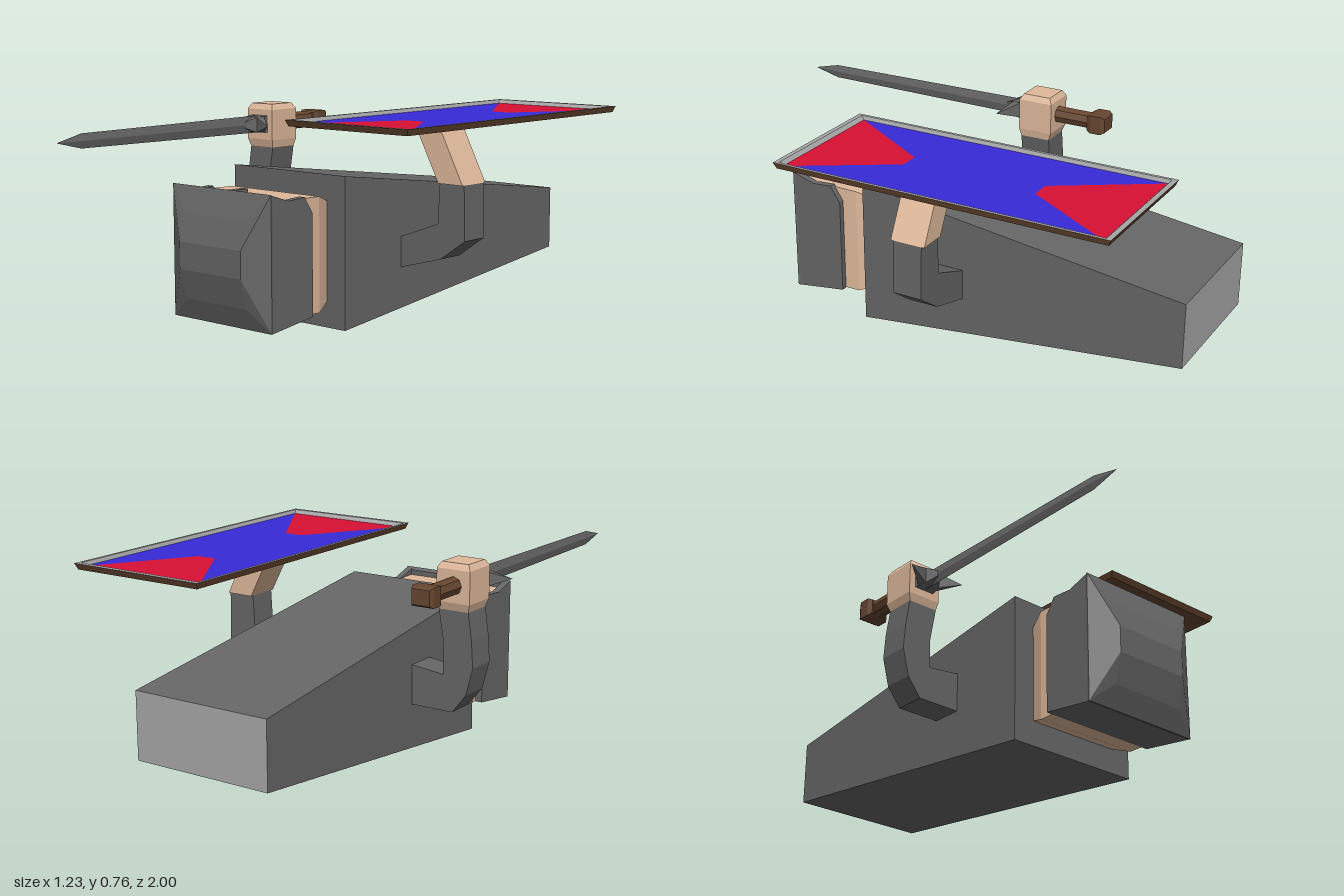
import * as THREE from 'three';
import { ConvexGeometry } from 'three/addons/geometries/ConvexGeometry.js';

const mat = (color) => new THREE.MeshStandardMaterial({ color, flatShading: true });
const grey = mat(0x666666), paleGrey = mat(0xa6a6a6), skin = mat(0xdfb99b);
const brown = mat(0x664630), blue = mat(0x372ad8), red = mat(0xd81034);

// Rectangular cross-sections, counter-clockwise seen from +z or +y
const ringZ = (z, x0, x1, y0, y1) => [[x0, y0, z], [x1, y0, z], [x1, y1, z], [x0, y1, z]];
const ringY = (y, x0, x1, z0, z1) => [[x0, y, z1], [x1, y, z1], [x1, y, z0], [x0, y, z0]];

// Skin a list of four-point rings, with optional end caps
function loft(rings, capStart = true, capEnd = true) {
  const pos = [];
  const quad = (a, b, c, d) => pos.push(...a, ...b, ...c, ...a, ...c, ...d);
  for (let k = 0; k < rings.length - 1; k++) {
    for (let i = 0; i < 4; i++) {
      const j = (i + 1) % 4;
      quad(rings[k][i], rings[k][j], rings[k + 1][j], rings[k + 1][i]);
    }
  }
  if (capStart) quad(...[...rings[0]].reverse());
  if (capEnd) quad(...rings[rings.length - 1]);
  const g = new THREE.BufferGeometry();
  g.setAttribute('position', new THREE.Float32BufferAttribute(pos, 3));
  g.computeVertexNormals();
  return g;
}

const hull = (pts) => new ConvexGeometry(pts.map((p) => new THREE.Vector3(...p)));
const shape = (pts) => new THREE.Shape(pts.map((p) => new THREE.Vector2(...p)));

// Outline in x,y extruded from z0 to z1
function slab(pts, z0, z1) {
  const g = new THREE.ExtrudeGeometry(shape(pts), { depth: z1 - z0, bevelEnabled: false });
  return g.translate(0, 0, z0);
}

// Outline in z,y extruded from x0 to x1
function sideSlab(pts, x0, x1) {
  return slab(pts.map(([z, y]) => [-z, y]), x0, x1).rotateY(Math.PI / 2);
}

function box(x0, x1, y0, y1, z0, z1) {
  return new THREE.BoxGeometry(x1 - x0, y1 - y0, z1 - z0)
    .translate((x0 + x1) / 2, (y0 + y1) / 2, (z0 + z1) / 2);
}

export function createModel() {
  const model = new THREE.Group();
  const group = (name) => {
    const g = new THREE.Group();
    g.name = name;
    model.add(g);
    return g;
  };
  const add = (parent, name, geometry, material) => {
    const m = new THREE.Mesh(geometry, material);
    m.name = name;
    parent.add(m);
  };

  // Tapered body lying on its back, with a pale foot end
  const body = group('body');
  const bodyRings = [ringZ(-1, -0.325, 0.23, 0.14, 0.39), ringZ(0.3, -0.325, 0.23, 0, 0.56)];
  add(body, 'torso', loft(bodyRings, false, true), grey);
  add(body, 'footEnd', new THREE.PlaneGeometry(0.555, 0.25).rotateY(Math.PI)
    .translate(-0.0475, 0.265, -1), paleGrey);

  // Head, face upwards
  const head = group('head');
  add(head, 'face', loft([
    ringZ(0.3, -0.238, 0.143, 0.095, 0.465),
    ringZ(0.37, -0.265, 0.17, 0.07, 0.49),
    ringZ(0.64, -0.265, 0.17, 0.07, 0.495),
  ]), skin);

  // Helmet: domed crown, cheek plates, back plate and nose guard
  const helmet = group('helmet');
  add(helmet, 'crown', hull([
    ...ringZ(0.625, -0.292, 0.192, 0.043, 0.515),
    ...ringZ(0.64, -0.295, 0.195, 0.04, 0.525),
    ...ringZ(0.672, -0.2, 0.105, 0.12, 0.43),
    ...ringZ(0.7, -0.2, 0.105, 0.23, 0.33),
  ]), grey);
  const cheek = [[0.43, 0.07], [0.635, 0.04], [0.635, 0.522], [0.55, 0.495], [0.47, 0.5], [0.43, 0.44]];
  add(helmet, 'rightCheekPlate', sideSlab(cheek, -0.293, -0.264), grey);
  add(helmet, 'leftCheekPlate', sideSlab(cheek, 0.166, 0.193), grey);
  add(helmet, 'backPlate', sideSlab(
    [[0.43, 0.068], [0.635, 0.04], [0.635, 0.08], [0.43, 0.08]], -0.293, 0.193), grey);
  add(helmet, 'noseGuard', box(-0.066, -0.034, 0.48, 0.515, 0.52, 0.635), grey);

  // Right arm, bent up to hold the sword
  const rightArm = group('rightArm');
  add(rightArm, 'rightSleeve', slab([
    [-0.31, 0.215], [-0.31, 0.367], [-0.455, 0.35], [-0.457, 0.46], [-0.435, 0.59],
    [-0.555, 0.59], [-0.57, 0.49], [-0.577, 0.39], [-0.55, 0.285], [-0.495, 0.215],
  ], -0.14, -0.02), grey);
  add(rightArm, 'rightHand', loft([
    ringY(0.59, -0.555, -0.435, -0.14, -0.02),
    ringY(0.62, -0.565, -0.43, -0.15, -0.012),
    ringY(0.74, -0.565, -0.43, -0.15, -0.012),
    ringY(0.762, -0.552, -0.443, -0.137, -0.025),
  ]), skin);

  // Left arm, bent up under the shield
  const leftArm = group('leftArm');
  add(leftArm, 'leftSleeve', slab([
    [0.215, 0.185], [0.415, 0.24], [0.525, 0.318], [0.52, 0.52],
    [0.41, 0.52], [0.402, 0.37], [0.215, 0.3],
  ], -0.13, -0.015), grey);
  add(leftArm, 'leftHand', slab(
    [[0.41, 0.52], [0.52, 0.52], [0.412, 0.73], [0.3, 0.73]], -0.142, -0.005), skin);

  // Sword pointing forwards
  const sword = group('sword');
  const sx = -0.498, sy = 0.682;
  const diamond = (z, w, h) =>
    [[sx - w, sy, z], [sx, sy - h, z], [sx + w, sy, z], [sx, sy + h, z]];
  add(sword, 'blade', hull([
    ...diamond(0, 0.007, 0.034), ...diamond(0.89, 0.006, 0.027), [sx, sy, 1],
  ]), grey);
  add(sword, 'guardCore', hull([
    ...ringZ(-0.015, sx - 0.042, sx + 0.042, sy - 0.034, sy + 0.034),
    ...ringZ(0.035, sx - 0.03, sx + 0.03, sy - 0.03, sy + 0.03),
    ...ringZ(0.075, sx - 0.007, sx + 0.007, sy - 0.012, sy + 0.012),
  ]), grey);
  for (const s of [-1, 1]) {
    const x = sx + s * 0.03;
    add(sword, s < 0 ? 'rightGuardTip' : 'leftGuardTip', hull([
      [x, sy - 0.033, -0.005], [x, sy + 0.033, -0.005],
      [x, sy - 0.03, 0.035], [x, sy + 0.03, 0.035], [sx + s * 0.118, sy, 0.065],
    ]), grey);
  }
  const grip = new THREE.CylinderGeometry(0.034, 0.034, 0.2, 8).rotateX(Math.PI / 2);
  add(sword, 'grip', grip.translate(sx, sy, -0.2), brown);
  add(sword, 'pommel', loft([
    ringZ(-0.365, sx - 0.036, sx + 0.036, sy - 0.028, sy + 0.028),
    ringZ(-0.35, sx - 0.044, sx + 0.044, sy - 0.036, sy + 0.036),
    ringZ(-0.305, sx - 0.044, sx + 0.044, sy - 0.036, sy + 0.036),
    ringZ(-0.288, sx - 0.034, sx + 0.034, sy - 0.028, sy + 0.028),
  ]), brown);

  // Shield lying flat: shallow brown back, grey rim and painted panel
  const shield = group('shield');
  const outer = ringY(0.758, 0.052, 0.61, -0.878, 0.42);
  const panelY = 0.744;
  add(shield, 'shieldBack', loft([
    ringY(0.722, 0.29, 0.375, -0.49, 0.03),
    ringY(0.735, 0.06, 0.602, -0.868, 0.41),
    outer,
  ], true, false), brown);
  add(shield, 'shieldRim', loft([
    outer,
    ringY(0.758, 0.064, 0.598, -0.858, 0.402),
    ringY(panelY, 0.07, 0.592, -0.845, 0.39),
  ], false, false), paleGrey);

  // Painted fields given as x,z outlines
  const field = (pts) => new THREE.ShapeGeometry(shape(pts.map(([x, z]) => [x, -z])))
    .rotateX(-Math.PI / 2).translate(0, panelY, 0);
  const a = [0.07, -0.845], b = [0.592, -0.845], c = [0.592, 0.39], d = [0.07, 0.39];
  const rearTip = [[0.37, -0.49], [0.295, -0.49]], frontTip = [[0.295, 0.03], [0.37, 0.03]];
  add(shield, 'rearField', field([a, b, ...rearTip]), red);
  add(shield, 'frontField', field([d, ...frontTip, c]), red);
  add(shield, 'middleField', field([a, rearTip[1], rearTip[0], b, c, frontTip[1], frontTip[0], d]), blue);

  return model;
}
